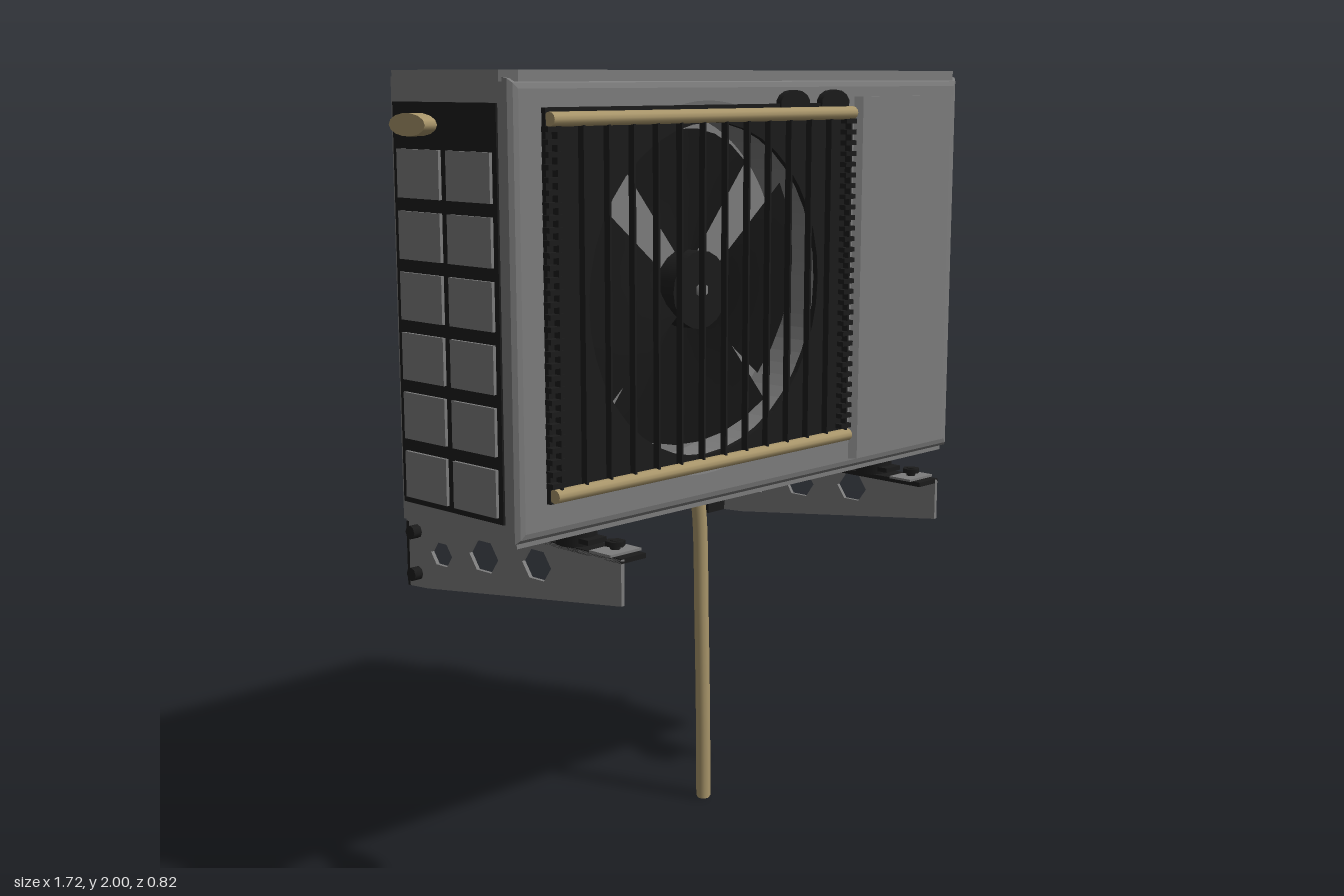
import * as THREE from 'three';

const mat = (name, color, side = THREE.FrontSide) => {
  const m = new THREE.MeshStandardMaterial({ color, side });
  m.name = name;
  return m;
};

export function createModel() {
  const grey = mat('grey metal', 0x7c7c7c);
  const dark = mat('black plastic', 0x1b1b1b);
  const blade = mat('black blade', 0x161616, THREE.DoubleSide);
  const tan = mat('tan plastic', 0xa8956a);
  const root = new THREE.Group();

  const add = (name, geo, material, parent = root) => {
    const m = new THREE.Mesh(geo, material);
    m.name = name;
    parent.add(m);
    return m;
  };
  // box given by its minimum and maximum on each axis
  const box = (name, material, x0, x1, y0, y1, z0, z1, parent = root) => {
    const m = add(name, new THREE.BoxGeometry(x1 - x0, y1 - y0, z1 - z0), material, parent);
    m.position.set((x0 + x1) / 2, (y0 + y1) / 2, (z0 + z1) / 2);
    return m;
  };
  const cyl = (name, material, r, len, axis, x, y, z, seg = 16, parent = root) => {
    const g = new THREE.CylinderGeometry(r, r, len, seg);
    if (axis === 'x') g.rotateZ(Math.PI / 2);
    if (axis === 'z') g.rotateX(Math.PI / 2);
    const m = add(name, g, material, parent);
    m.position.set(x, y, z);
    return m;
  };
  const tube = (name, material, r, pts, seg = 8) => {
    const curve = new THREE.CatmullRomCurve3(pts.map(p => new THREE.Vector3(...p)), false, 'centripetal');
    return add(name, new THREE.TubeGeometry(curve, 36, r, seg), material);
  };
  const poly = pts => new THREE.Shape(pts.map(p => new THREE.Vector2(...p)));
  const rect = (x0, x1, y0, y1) => poly([[x0, y0], [x1, y0], [x1, y1], [x0, y1]]);
  const circle = (x, y, r) => new THREE.Path().absarc(x, y, r, 0, Math.PI * 2, true);
  // extrude a plan outline (x, -z) upward from y
  const plan = (name, shape, y, h) => {
    const g = new THREE.ExtrudeGeometry(shape, { depth: h, bevelEnabled: false });
    return add(name, g.rotateX(-Math.PI / 2).translate(0, y, 0), grey);
  };

  // cabinet: rear body, front body with fan well, lid and base
  plan('cabinetRear', poly([[-0.825, -0.14], [0.795, -0.14], [0.795, 0.12], [0.77, 0.152], [-0.8, 0.152], [-0.825, 0.12]]), 0.955, 1.03);
  const fx = -0.21, fy = 1.48;
  const front = rect(-0.8, 0.77, 0.98, 1.96);
  front.holes.push(circle(fx, fy, 0.45));
  const frontGeo = new THREE.ExtrudeGeometry(front, { depth: 0.125, bevelSize: 0.025, bevelThickness: 0.025, bevelSegments: 3, curveSegments: 40 });
  add('cabinetFront', frontGeo.translate(0, 0, 0.14), grey);
  plan('lid', poly([[-0.83, -0.26], [-0.8, -0.29], [0.765, -0.29], [0.8, -0.255], [0.8, 0.11], [0.765, 0.145], [-0.8, 0.145], [-0.83, 0.11]]), 1.975, 0.025);
  box('baseTray', grey, -0.81, 0.78, 0.945, 0.965, -0.13, 0.27);
  const bulge = new THREE.ExtrudeGeometry(poly([[0.33, -0.28], [0.36, -0.305], [0.74, -0.305], [0.785, -0.28]]), { depth: 0.95, bevelEnabled: false });
  add('frontServicePanel', bulge.rotateX(-Math.PI / 2).translate(0, 0.985, 0), grey);

  // fan shroud and grille
  const shroud = rect(-0.735, 0.305, 1.04, 1.92);
  shroud.holes.push(circle(fx, fy, 0.4));
  add('fanShroud', new THREE.ExtrudeGeometry(shroud, { depth: 0.014, bevelEnabled: false, curveSegments: 20 }).translate(0, 0, 0.288), dark);
  const grille = new THREE.Group();
  grille.name = 'grille';
  root.add(grille);
  for (let i = 0; i <= 13; i++) {
    const x = -0.715 + i * 0.0775;
    box('grilleSlat', dark, x - 0.003, x + 0.003, 1.06, 1.9, 0.304, 0.322, grille);
  }
  for (let i = 0; i < 30; i++) {
    const y = 1.085 + i * 0.0272;
    for (const x of [-0.725, 0.293])
      box('grilleTooth', dark, x - 0.02, x + 0.02, y - 0.006, y + 0.006, 0.3, 0.322, grille);
  }
  for (const y of [1.06, 1.895]) {
    const rail = cyl('grilleRail', tan, 0.018, 1.04, 'x', -0.213, y, 0.313, 12, grille);
    rail.scale.y = 0.9;
  }
  for (const x of [0.09, 0.245]) {
    const latch = cyl('grilleLatch', dark, 0.055, 0.025, 'z', x, 1.92, 0.295, 14, grille);
    latch.scale.y = 0.6;
  }

  // fan
  const fan = new THREE.Group();
  fan.name = 'fan';
  fan.position.set(fx, fy, 0.225);
  root.add(fan);
  cyl('fanHub', dark, 0.095, 0.06, 'z', 0, 0, 0.015, 20, fan);
  cyl('fanNut', grey, 0.018, 0.01, 'z', 0, 0, 0.048, 6, fan);
  for (let i = 0; i < 4; i++) {
    const len = 1.38, g = new THREE.RingGeometry(0.08, 0.385, 7, 3, -len / 2, len);
    const p = g.attributes.position;
    for (let k = 0; k < p.count; k++)
      p.setZ(k, Math.atan2(p.getY(k), p.getX(k)) * 0.05);
    g.computeVertexNormals();
    add('fanBlade', g, blade, fan).rotation.z = i * Math.PI / 2;
  }

  // rear coil with thin frame
  box('rearCoil', dark, -0.67, 0.46, 0.99, 1.905, -0.16, -0.15);
  for (const x of [-0.685, 0.46]) box('coilFrameSide', grey, x, x + 0.015, 0.975, 1.92, -0.164, -0.15);
  for (const y of [0.975, 1.905]) box('coilFrameEdge', grey, -0.67, 0.46, y, y + 0.015, -0.164, -0.15);
  box('rearSeam', dark, -0.795, -0.78, 0.98, 1.95, -0.156, -0.15);

  // left-hand vent on the -x side
  box('sideVent', dark, -0.83, -0.82, 1.0, 1.93, -0.11, 0.25);
  for (let r = 0; r < 6; r++)
    for (let c = 0; c < 2; c++)
      box('ventLouvre', grey, -0.838, -0.825, 1.015 + r * 0.14, 1.125 + r * 0.14, -0.09 + c * 0.175, 0.06 + c * 0.175);
  cyl('sideHandle', tan, 0.065, 0.035, 'x', -0.847, 1.88, -0.015, 14).scale.y = 0.4;

  // wiring cover on the +x side
  box('coverPlate', tan, 0.79, 0.808, 1.62, 1.965, -0.04, 0.21);
  const cover = poly([[0.8, 1.63], [0.83, 1.65], [0.847, 1.7], [0.85, 1.82], [0.832, 1.9], [0.8, 1.92]]);
  const coverGeo = new THREE.ExtrudeGeometry(cover, { depth: 0.2, bevelSize: 0.004, bevelThickness: 0.01, bevelSegments: 2 });
  add('wiringCover', coverGeo.translate(0, 0, -0.02), tan);
  box('coverHandleRecess', dark, 0.845, 0.853, 1.84, 1.885, 0.02, 0.155);

  // service valves
  for (const [y, m, r] of [[1.21, tan, 0.02], [1.085, dark, 0.022]]) {
    cyl('valveStem', grey, 0.012, 0.06, 'x', 0.82, y, 0.052);
    cyl('valveCap', m, r, 0.02, 'x', 0.845, y, 0.052, 8);
    cyl('valvePort', m, 0.01, 0.05, 'z', 0.825, y + 0.005, 0.03, 8);
  }
  for (const z of [0.03, 0.095]) cyl('valveScrew', dark, 0.01, 0.02, 'x', 0.8, 1.065, z, 8);

  // cables and wrapped pipe run to the wall
  tube('powerCable', dark, 0.008, [[0.835, 1.63, 0.13], [0.83, 1.6, 0.09], [0.825, 1.45, 0.0], [0.79, 1.33, -0.14], [0.7, 1.25, -0.24], [0.56, 1.22, -0.27]]);
  tube('thinPipe', dark, 0.005, [[0.83, 1.085, 0.04], [0.83, 1.12, -0.04], [0.77, 1.17, -0.17], [0.68, 1.2, -0.24], [0.56, 1.21, -0.27]]);
  tube('wrappedPipe', grey, 0.03, [[0.59, 1.22, -0.27], [0.4, 1.17, -0.24], [0.17, 1.1, -0.205], [0.1, 1.05, -0.235], [0.055, 1.0, -0.31], [0.04, 0.97, -0.385]], 10);
  cyl('wallFlange', tan, 0.065, 0.025, 'z', 0.04, 0.97, -0.393, 12);

  // drain
  cyl('drainFitting', dark, 0.05, 0.04, 'y', 0.035, 0.93, -0.04, 12);
  tube('drainHose', tan, 0.02, [[0.02, 0.92, -0.045], [0.06, 0.9, -0.046], [0.105, 0.88, -0.047], [0.12, 0.83, -0.048], [0.126, 0.5, -0.042], [0.126, 0.22, -0.036], [0.126, 0.005, -0.034]], 10);
  cyl('drainTip', tan, 0.017, 0.01, 'y', 0.126, 0.005, -0.034, 10);

  // wall brackets
  const web = poly([[0.41, 0.91], [0.41, 0.8], [-0.3, 0.705], [-0.375, 0.7], [-0.375, 1.47], [-0.305, 1.47], [-0.305, 0.91]]);
  for (const [z, y, r] of [[0.12, 0.845, 0.052], [-0.075, 0.83, 0.055], [-0.24, 0.805, 0.042]]) {
    const pts = [];
    for (let k = 0; k < 6; k++) pts.push(new THREE.Vector2(z + r * Math.cos(k * Math.PI / 3), y + r * 0.8 * Math.sin(k * Math.PI / 3)));
    web.holes.push(new THREE.Path(pts));
  }
  for (const [c, s] of [[-0.58, -1], [0.542, 1]]) {
    const b = new THREE.Group();
    b.name = 'wallBracket';
    b.position.x = c;
    root.add(b);
    const g = new THREE.ExtrudeGeometry(web, { depth: 0.01, bevelEnabled: false });
    add('bracketWeb', g.rotateY(-Math.PI / 2).translate(s * 0.035 + 0.005, 0, 0), grey, b);
    box('armFlange', dark, -0.04, 0.04, 0.9, 0.912, -0.37, 0.41, b);
    box('postFlange', dark, -0.04, 0.04, 0.7, 1.47, -0.38, -0.37, b);
    box('rubberPad', dark, -0.03, 0.03, 0.92, 0.932, -0.13, 0.29, b);
    for (const z of [0.35, -0.19]) {
      box('footPlate', grey, -0.05, 0.05, 0.912, 0.918, z - 0.035, z + 0.035, b);
      cyl('footBolt', dark, 0.012, 0.04, 'y', 0, 0.92, z, 8, b);
      cyl('footNut', dark, 0.024, 0.012, 'y', 0, 0.932, z, 6, b);
    }
    for (const z of [0.22, -0.06]) cyl('rubberFoot', dark, 0.05, 0.04, 'y', 0, 0.93, z, 12, b);
    for (const y of [0.74, 0.85]) cyl('bracketBolt', dark, 0.018, 0.025, 'x', s * 0.052, y, -0.335, 8, b);
  }
  return root;
}
